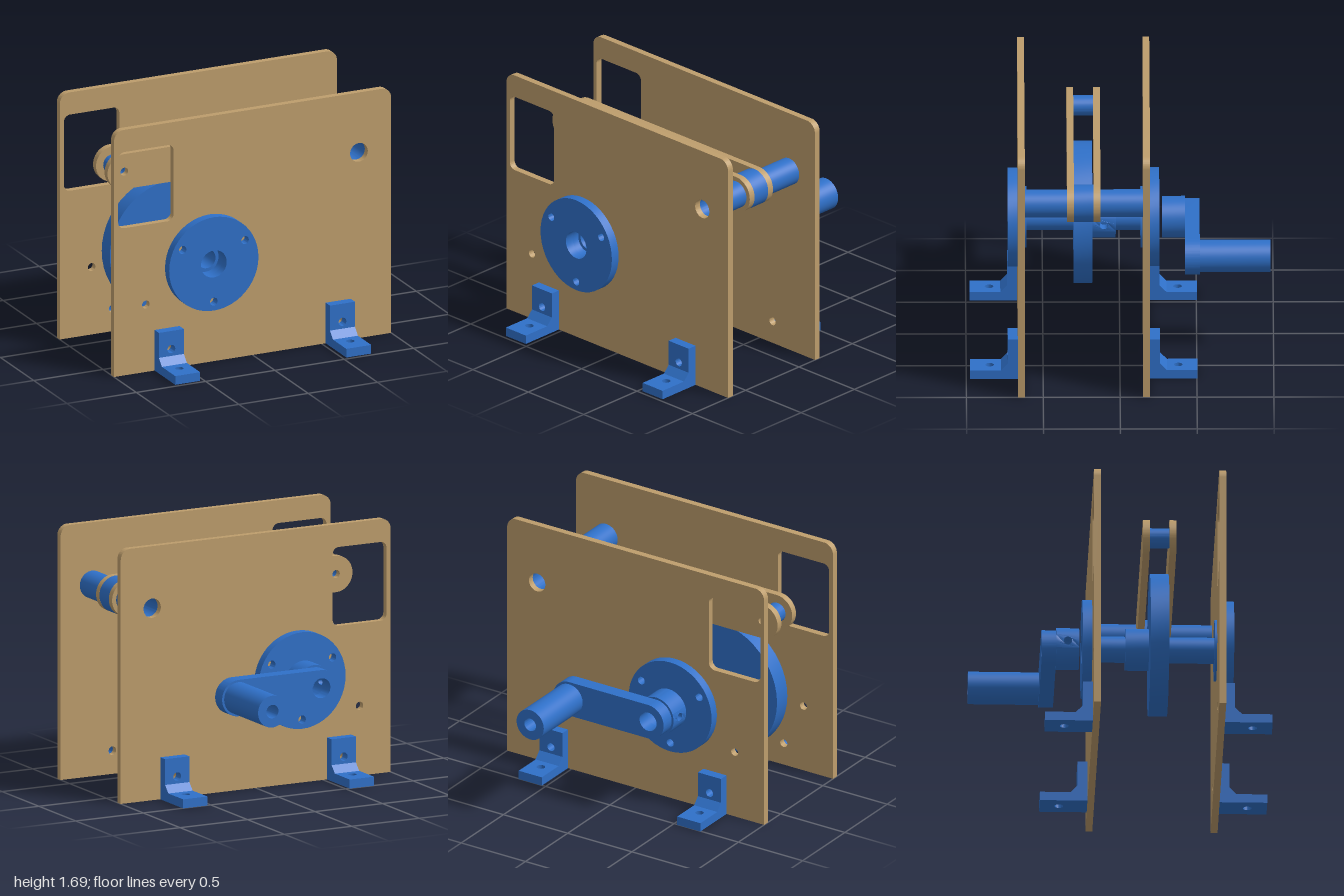
import * as THREE from 'three';
import { toCreasedNormals } from 'three/addons/utils/BufferGeometryUtils.js';

const wood = new THREE.MeshStandardMaterial({ color: 0xbd9d6c });
wood.name = 'tan board';
const blue = new THREE.MeshStandardMaterial({ color: 0x2f70c8 });
blue.name = 'blue plastic';

// A hole or disc outline
const circle = (x, y, r, Type = THREE.Path) => new Type().absarc(x, y, r, 0, Math.PI * 2, false);

// Rectangle with separate corner radii for the bottom and the top
function roundRect(x0, y0, x1, y1, rb, rt, Type = THREE.Shape) {
  const s = new Type();
  s.moveTo(x0 + rb, y0);
  s.lineTo(x1 - rb, y0);
  if (rb) s.absarc(x1 - rb, y0 + rb, rb, -Math.PI / 2, 0, false);
  s.lineTo(x1, y1 - rt);
  if (rt) s.absarc(x1 - rt, y1 - rt, rt, 0, Math.PI / 2, false);
  s.lineTo(x0 + rt, y1);
  if (rt) s.absarc(x0 + rt, y1 - rt, rt, Math.PI / 2, Math.PI, false);
  s.lineTo(x0, y0 + rb);
  if (rb) s.absarc(x0 + rb, y0 + rb, rb, Math.PI, Math.PI * 1.5, false);
  return s;
}

// Horizontal bar with round ends
function stadium(x0, x1, y, r) {
  const s = new THREE.Shape();
  s.absarc(x1, y, r, -Math.PI / 2, Math.PI / 2, false);
  s.absarc(x0, y, r, Math.PI / 2, Math.PI * 1.5, false);
  s.closePath();
  return s;
}

// Extrude an outline from z0 to z1
function slab(name, shape, holes, z0, z1, material) {
  shape.holes.push(...holes);
  const raw = new THREE.ExtrudeGeometry(shape, { depth: z1 - z0, bevelEnabled: false, curveSegments: 24 });
  const mesh = new THREE.Mesh(toCreasedNormals(raw, 0.6), material);
  mesh.position.z = z0;
  mesh.name = name;
  return mesh;
}

const tube = (name, x, y, r, bore, z0, z1) =>
  slab(name, circle(x, y, r, THREE.Shape), [circle(x, y, bore)], z0, z1, blue);

// Collar with a radial set-screw hole pointing along local +x
function hub(name, r, bore, z0, z1) {
  const g = new THREE.Group();
  g.name = name;
  const half = 0.35, len = z1 - z0;
  const c = new THREE.Shape();
  c.absarc(0, 0, r, half, Math.PI * 2 - half, false);
  c.absarc(0, 0, bore, Math.PI * 2 - half, half, true);
  c.closePath();
  g.add(slab('collarWall', c, [], z0, z1, blue));
  // Drilled patch, bent around the axis to close the collar
  const w = half * r, n = 8, pts = [];
  for (let i = 0; i <= n; i++) pts.push(new THREE.Vector2(-w + (2 * w * i) / n, 0));
  for (let i = n; i >= 0; i--) pts.push(new THREE.Vector2(-w + (2 * w * i) / n, len));
  const patch = new THREE.Shape(pts);
  patch.holes.push(circle(0, len / 2, 0.028));
  const geo = new THREE.ExtrudeGeometry(patch, { depth: r - bore, bevelEnabled: false, curveSegments: 12 });
  const p = geo.attributes.position;
  for (let i = 0; i < p.count; i++) {
    const a = p.getX(i) / r, rad = bore + p.getZ(i);
    p.setXYZ(i, Math.cos(a) * rad, Math.sin(a) * rad, z0 + p.getY(i));
  }
  const mesh = new THREE.Mesh(toCreasedNormals(geo, 0.6), blue);
  mesh.name = 'setScrewPatch';
  g.add(mesh);
  return g;
}

// Angle bracket: upright leg, foot and gusset; z = 0 touches the board
function bracket() {
  const g = new THREE.Group();
  g.name = 'footBracket';
  g.add(slab('uprightLeg', roundRect(-0.09, 0, 0.09, 0.28, 0, 0), [circle(0, 0.155, 0.028)], 0, 0.065, blue));
  const foot = slab('foot', roundRect(-0.09, -0.31, 0.09, -0.065, 0, 0), [circle(0, -0.183, 0.028)], 0, 0.06, blue);
  foot.rotation.x = -Math.PI / 2;
  foot.position.set(0, 0, 0);
  g.add(foot);
  const tri = new THREE.Shape([[-0.065, 0.06], [-0.11, 0.06], [-0.065, 0.108]].map(a => new THREE.Vector2(...a)));
  const gusset = slab('gusset', tri, [], -0.09, 0.09, blue);
  gusset.rotation.y = Math.PI / 2;
  gusset.position.set(-0.09, 0, 0);
  g.add(gusset);
  return g;
}

// Flanged bearing; z = 0 is the outer face of the board
function bearing() {
  const g = new THREE.Group();
  g.name = 'flangedBearing';
  const bolts = [90, 210, 330].map(d => {
    const a = THREE.MathUtils.degToRad(d + 180);
    return circle(Math.cos(a) * 0.26, Math.sin(a) * 0.26, 0.027);
  });
  g.add(slab('flange', circle(0, 0, 0.322, THREE.Shape), [circle(0, 0, 0.093), ...bolts], 0, 0.063, blue));
  g.add(tube('bearingBoss', 0, 0, 0.2, 0.093, -0.06, 0));
  return g;
}

export function createModel() {
  const model = new THREE.Group();
  model.name = 'crankMechanism';
  const sx = -0.31, sy = 0.695;   // main shaft
  const px = 0.767, py = 1.28;    // lever pivot

  // Two side boards with window, pivot, bearing and bolt holes
  for (const [name, z] of [['frontBoard', 0.62], ['backBoard', -0.195]]) {
    model.add(slab(name, roundRect(-1, 0, 1, 1.693, 0, 0.07), [
      roundRect(-0.97, 1.015, -0.57, 1.54, 0.045, 0.045, THREE.Path),
      circle(px, py, 0.064), circle(sx, sy, 0.2), circle(-0.77, 0.465, 0.027),
      circle(-0.617, 0.155, 0.028), circle(0.617, 0.155, 0.028),
    ], z, z + 0.045, wood));
  }

  // Bearings and foot brackets on the outside of each board
  for (const [z, turn] of [[0.665, 0], [-0.195, Math.PI]]) {
    const b = bearing();
    b.position.set(sx, sy, z);
    b.rotation.y = turn;
    model.add(b);
    for (const x of [-0.617, 0.617]) {
      const f = bracket();
      f.position.set(x, 0, z);
      f.rotation.y = turn;
      model.add(f);
    }
  }

  // Main shaft, eccentric cam and its collar
  model.add(tube('mainShaft', sx, sy, 0.085, 0.064, -0.15, 0.62));
  model.add(slab('eccentricCam', circle(-0.391, 0.693, 0.464, THREE.Shape), [circle(sx, sy, 0.085)], 0.178, 0.3, blue));
  const camHub = hub('camCollar', 0.136, 0.085, 0.025, 0.178);
  camHub.position.set(sx, sy, 0);
  model.add(camHub);

  // Lever: two bars, roller spacer and pivot tube
  for (const z of [0.127, 0.3]) {
    model.add(slab('leverBar', stadium(-0.772, px, py, 0.121),
      [circle(-0.772, py, 0.027), circle(px, py, 0.09)], z, z + 0.045, wood));
  }
  model.add(tube('leverSpacer', -0.775, py, 0.066, 0.027, 0.172, 0.3));
  model.add(tube('pivotSpacer', px, py, 0.121, 0.09, 0.172, 0.3));
  model.add(tube('pivotTube', px, py, 0.091, 0.064, -0.15, 0.62));

  // Crank: collar, arm and handle
  const crankHub = hub('crankCollar', 0.136, 0.085, -0.425, -0.275);
  crankHub.position.set(sx, sy, 0);
  crankHub.rotation.z = Math.PI;
  model.add(crankHub);
  model.add(slab('crankArm', stadium(sx, 0.305, sy, 0.121),
    [circle(sx, sy, 0.066), circle(0.305, sy, 0.045)], -0.52, -0.425, blue));
  model.add(tube('crankHandle', 0.305, sy, 0.106, 0.045, -0.98, -0.52));

  return model;
}
